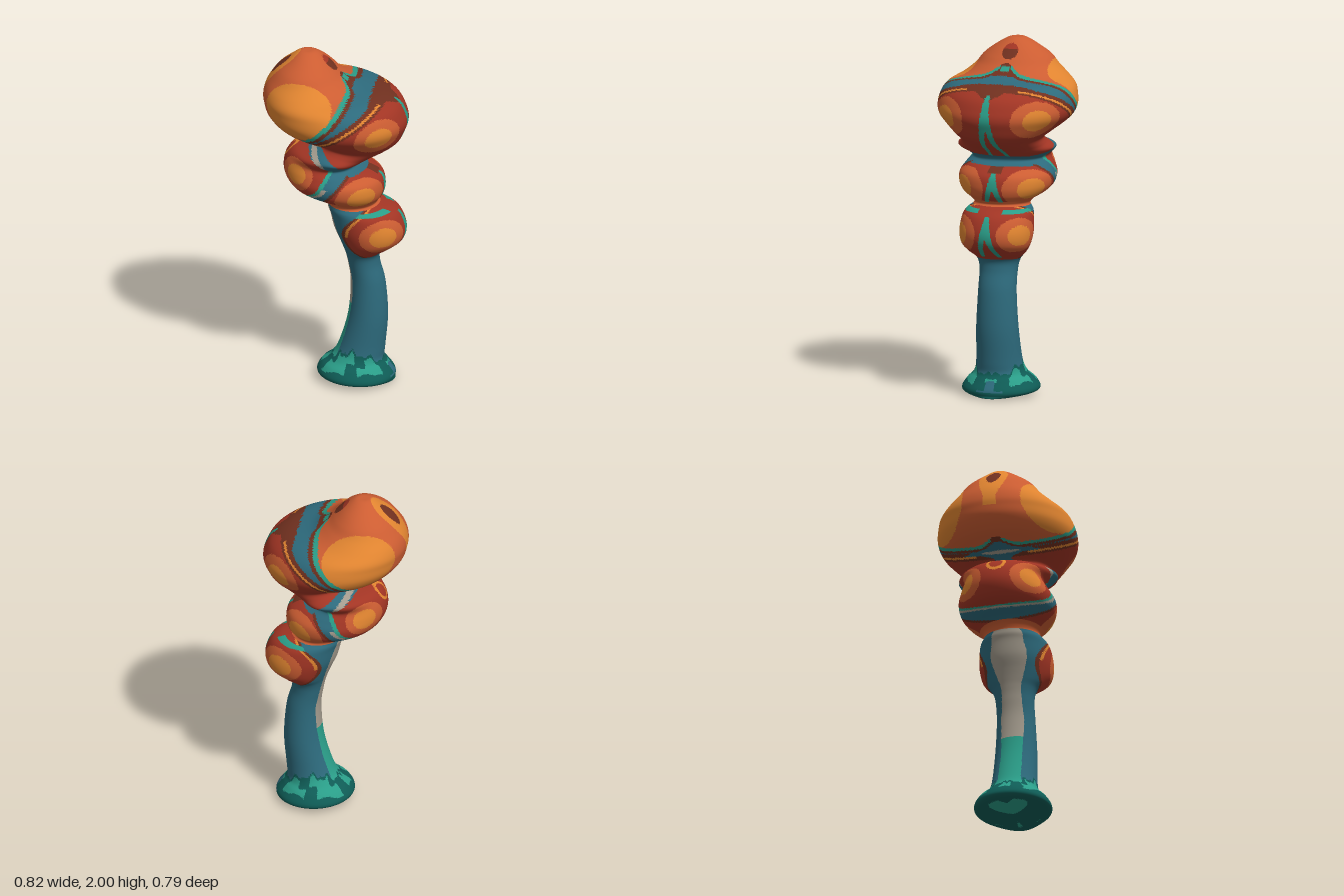
import * as THREE from 'three';

const COLORS = {
  amber: 0xe08430, coral: 0xcc5d32, red: 0xa23524, brown: 0x70301f, jade: 0x2a9d88,
  blue: 0x2d6a7c, deepTeal: 0x0f5c56, stone: 0xa39b8d,
};
const NAMES = Object.keys(COLORS);

// Rings from the top down: left x, left y, right x, right y, half depth
const HEAD = [
  [-.16, 2, -.16, 2, 0], [-.21, 1.995, -.11, 1.995, .05], [-.27, 1.95, -.05, 1.95, .13],
  [-.33, 1.9, 0, 1.9, .195], [-.375, 1.84, .05, 1.85, .24], [-.4, 1.79, .13, 1.8, .3],
  [-.41, 1.74, .27, 1.77, .36], [-.405, 1.7, .36, 1.72, .385], [-.39, 1.65, .4, 1.65, .395],
  [-.35, 1.6, .41, 1.6, .38], [-.3, 1.565, .395, 1.55, .34], [-.2, 1.53, .365, 1.49, .28],
  [-.12, 1.505, .31, 1.445, .24], [-.09, 1.48, .23, 1.405, .25], [-.13, 1.455, .17, 1.375, .285],
  [-.23, 1.43, .135, 1.35, .26], [-.28, 1.38, .14, 1.325, .225], [-.295, 1.31, .21, 1.3, .25],
  [-.28, 1.25, .265, 1.26, .275], [-.24, 1.2, .28, 1.2, .268], [-.17, 1.17, .27, 1.15, .235],
];
const TRUNK = [
  [-.08, 1.135, .245, 1.115, .18], [-.05, 1.1, .245, 1.093, .16], [-.043, 1.065, .32, 1.07, .188],
  [-.03, 1.03, .37, 1.03, .203], [-.01, .95, .4, .95, .21], [.02, .88, .385, .88, .197],
  [.04, .83, .32, .83, .165], [.055, .785, .255, .785, .125], [.07, .72, .25, .72, .11],
  [.085, .6, .28, .6, .11], [.07, .4, .295, .4, .12], [.015, .21, .28, .21, .13],
  [-.03, .14, .275, .14, .15], [-.08, .1, .3, .1, .19], [-.105, .055, .335, .05, .22],
  [-.08, .03, .335, .02, .2], [0, .02, .32, .004, .1], [.16, .012, .16, .012, 0],
];
const RINGS = [...HEAD, ...TRUNK];
const STEPS = 8, SIDES = 240;

// Colour spots sit in mirrored pairs; distance 1 is the edge of the core
const spot = (p, c, r) => Math.hypot((p.x - c[0]) / r[0], (p.y - c[1]) / r[1], (Math.abs(p.z) - c[2]) / r[2]);
const target = (d, ring, outer) => (d < 1 ? 'amber' : d < ring ? 'coral' : outer);

// Stripe down the right side of each bulb, forked towards its lower end
function forked(p, tip, length) {
  const t = (tip - p.y) / length, z = Math.abs(p.z);
  return t > 0 && t < 1.1 && z < .012 + .045 * t && z > (t - .55) * .07;
}

function capColor(p) {
  const { x, y } = p, z = Math.abs(p.z);
  const seam = .04 + (y - 1.74) * .75 - 2 * Math.min(y - 1.74, 0) ** 2;
  const w = x - (seam - .1 * Math.exp(-((z / .07) ** 2)));
  if (y > 1.76 && x > .038 && x < .07 && z < .025) return 'jade';
  if (w < -.018) {
    const back = Math.hypot((x + .31) / .055, z / .04);
    if (x < -.2 && y > 1.7 && back < 1) return 'brown';
    if (x < -.2 && y > 1.7 && back < 2) return 'amber';
    if (y > 1.84 && Math.hypot((x + .035) / .042, z / .045) < 1) return x > -.045 ? 'brown' : 'red';
    return target(spot(p, [-.2, 1.745, .31], [.225, .155, .21]), 9, 'coral');
  }
  if (w < .016) return z < .03 ? 'brown' : 'jade';
  const line = x - (.24 + (y - 1.74) * 1.6);
  if (w < .045 || (y > 1.74 && x < .1 && z < .15)) return 'brown';
  if (line < -.06 || (y > 1.762 && x < .21 && line < -.02)) return x < .21 ? 'blue' : 'brown';
  if (line < -.015) return y < 1.53 ? 'blue' : 'brown';
  if (line < .01 && z > .15) return 'amber';
  if (x > .1 && forked(p, 1.74, .34)) return 'jade';
  if (line < .035 || z < (y - 1.71) * 2) return 'brown';
  return target(spot(p, [.285, 1.6, .275], [.085, .062, .1]), 1.75, 'red');
}

function middleColor(p) {
  const { x, y } = p, z = Math.abs(p.z);
  const w = x - ((y - 1.35) * .6 - 14 * Math.min(0, y - 1.25) ** 2);
  if (x > .1 && forked(p, 1.28, .17)) return 'jade';
  if (y < 1.12) return 'coral';
  if (w < -.013) {
    const back = Math.hypot((x + .26) / .06, (y - 1.4) / .05, z / .05);
    if (back > .8 && back < 1.15) return 'amber';
    return target(spot(p, [-.195, 1.315, .18], [.063, .056, .1]), 1.65, 'red');
  }
  if (w < .013) return 'jade';
  if (y < 1.26 && w < .042) return 'stone';
  const edge = x - (.07 + (y - 1.3) * .9);
  if (edge < 0) return 'blue';
  if (edge < .022 || (y > 1.28 && z < .04)) return 'brown';
  return target(spot(p, [.175, 1.193, .2], [.085, .06, .105]), 1.8, 'red');
}

function headColor(p) {
  const neck = THREE.MathUtils.clamp(1.4 - .6 * p.x, 1.338, 1.485);
  if (Math.abs(p.y - neck) < (p.x < .05 ? .036 : .027)) {
    return p.x < -.03 && Math.abs(p.x + p.y - 1.35) < .022 ? 'stone' : 'blue';
  }
  return p.y > neck ? capColor(p) : middleColor(p);
}

function stemColor(p) {
  const { x, y } = p;
  if (y > 1.09) return 'coral';
  const edge = x - (.055 + 5.5 * (y - .94) ** 2);
  if (y > .79 && edge > 0) {
    if (x > .2 && forked(p, 1.05, .22)) return 'jade';
    if (y > 1.062 && y < 1.08 && Math.abs(p.z) > .07) return 'jade';
    if (edge < .02) return 'brown';
    if (edge < .038 && y > .93) return 'amber';
    return target(spot(p, [.29, .943, .165], [.08, .058, .09]), 1.7, 'red');
  }
  // Pale and green streak down the left side
  const side = y > .6 ? .085 - .34 * (y - .6) ** 1.3 : .085 - .47 * (.6 - y) ** 2;
  if (x < side + .02) return y > .48 ? 'stone' : 'jade';
  return 'blue';
}

function footColor(p) {
  const { x, y } = p, z = Math.abs(p.z);
  const a = Math.atan2(z, x - .11);
  if (y < .028 && Math.hypot(x - .11, z) < .17) {
    return Math.sin(x * 24 + 1) + Math.sin(z * 32 + x * 12) > .45 ? 'jade' : 'deepTeal';
  }
  const rim = .13 + .06 * Math.sin(a) ** 2 + .006 * a + .014 * Math.sin(a * 9) + .008 * Math.sin(a * 17);
  if (y > rim) return x < .085 - .47 * (.6 - y) ** 2 + .02 ? 'jade' : 'blue';
  if (y > rim - .016) return 'deepTeal';
  const n = Math.sin(a * 5 + y * 30) + .6 * Math.sin(a * 11 - y * 60);
  if (a < .35 && y > .04 && n > .2) return 'blue';
  return y > .085 + .01 * Math.sin(a * 7) && n > -.3 ? 'jade' : 'deepTeal';
}

export function createModel() {
  const group = new THREE.Group();
  const materials = NAMES.map((name) => {
    const m = new THREE.MeshStandardMaterial({ color: COLORS[name] });
    m.name = name;
    return m;
  });

  // Smooth body: tilted elliptical rings between the left and right outlines
  const curve = (f) => new THREE.CatmullRomCurve3(RINGS.map(f), false, 'catmullrom', .5);
  const left = curve((r) => new THREE.Vector3(r[0], r[1], 0));
  const right = curve((r) => new THREE.Vector3(r[2], r[3], r[4]));
  const rows = (RINGS.length - 1) * STEPS;
  const pos = [];
  for (let i = 0; i <= rows; i++) {
    const l = left.getPoint(i / rows), r = right.getPoint(i / rows);
    for (let j = 0; j < SIDES; j++) {
      const a = (j / SIDES) * Math.PI * 2, k = (1 + Math.cos(a)) / 2;
      pos.push(l.x + (r.x - l.x) * k, Math.max(0, l.y + (r.y - l.y) * k), Math.max(0, r.z) * Math.sin(a));
    }
  }
  const body = new THREE.BufferGeometry();
  body.setAttribute('position', new THREE.Float32BufferAttribute(pos, 3));

  // Cut the rows into parts and sort each part's faces by colour
  const center = new THREE.Vector3(), corner = new THREE.Vector3();
  const all = [];
  function part(name, from, to, colorAt) {
    const faces = NAMES.map(() => []);
    for (let i = from; i < to; i++) {
      for (let j = 0; j < SIDES; j++) {
        const a = i * SIDES + j, b = i * SIDES + (j + 1) % SIDES, c = a + SIDES, d = b + SIDES;
        for (const tri of [[a, b, c], [b, d, c]]) {
          center.set(0, 0, 0);
          for (const v of tri) center.add(corner.fromArray(pos, v * 3));
          faces[NAMES.indexOf(colorAt(center.divideScalar(3)))].push(...tri);
        }
      }
    }
    const geo = new THREE.BufferGeometry();
    let start = 0;
    faces.forEach((f, m) => {
      if (f.length) geo.addGroup(start, f.length, m);
      start += f.length;
    });
    const index = faces.flat();
    geo.setIndex(index);
    for (const v of index) all.push(v);
    const mesh = new THREE.Mesh(geo, materials);
    mesh.name = name;
    group.add(mesh);
  }
  const headEnd = HEAD.length * STEPS, footStart = headEnd + 10.5 * STEPS;
  part('head', 0, headEnd, headColor);
  part('stem', headEnd, footStart, stemColor);
  part('foot', footStart, rows, footColor);

  // Shared normals keep the joins between parts smooth
  body.setIndex(all);
  body.computeVertexNormals();
  for (const mesh of group.children) {
    mesh.geometry.setAttribute('position', body.attributes.position);
    mesh.geometry.setAttribute('normal', body.attributes.normal);
  }
  return group;
}
